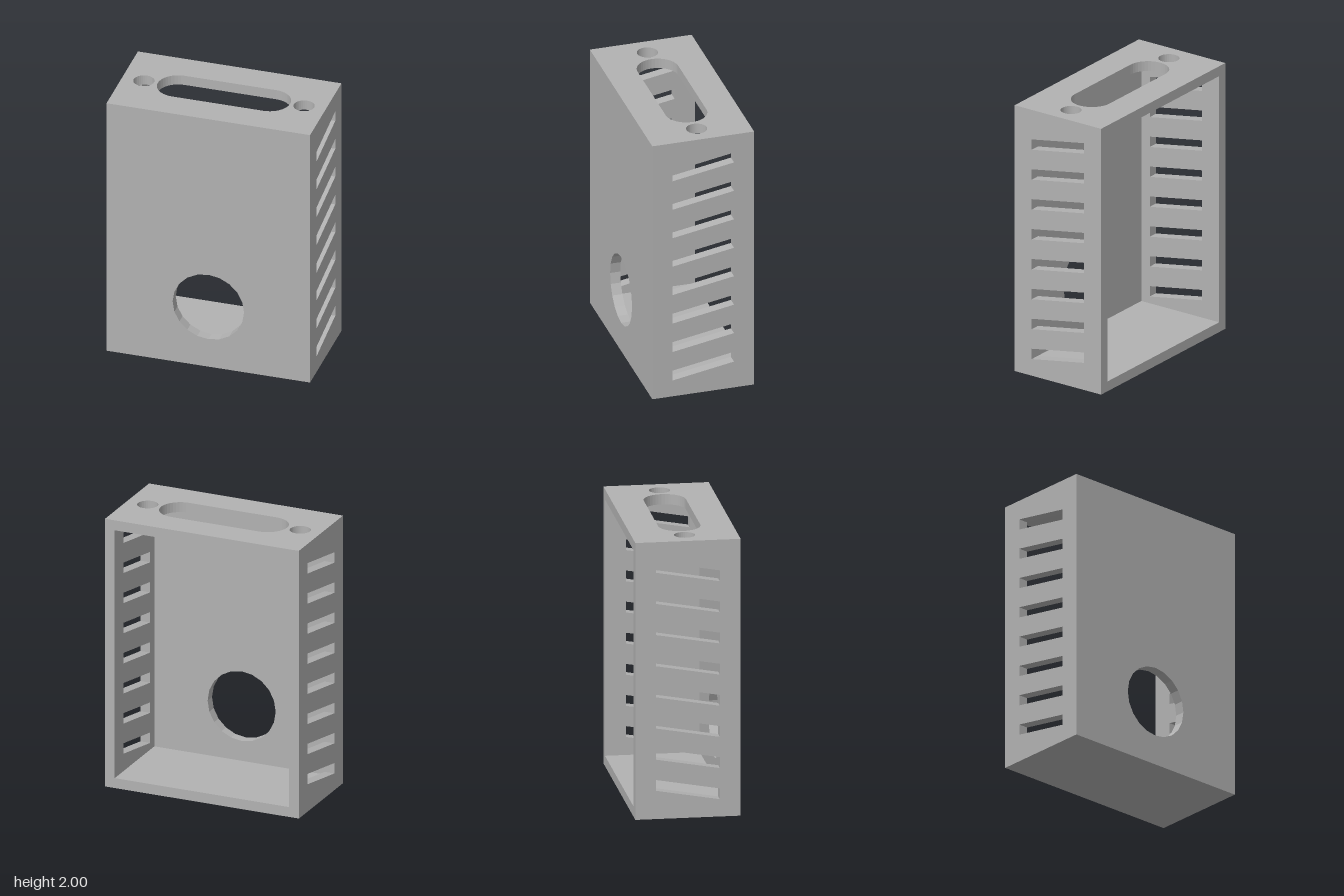
import * as THREE from 'three';

const W = 1.482, H = 2, D = 0.741, T = 0.074; // outer size and wall thickness

// Points along an arc
function arc(cx, cy, r, from, to, n) {
  return Array.from({ length: n + 1 }, (_, i) => {
    const a = from + (to - from) * i / n;
    return new THREE.Vector2(cx + r * Math.cos(a), cy + r * Math.sin(a));
  });
}
const circle = (cx, cy, r, n) => arc(cx, cy, r, 0, Math.PI * 2, n).slice(0, n);

// Flat rectangular panel with cut-outs, one wall thick
function panel(x0, x1, y0, y1, holes = []) {
  const shape = new THREE.Shape([
    new THREE.Vector2(x0, y0), new THREE.Vector2(x1, y0),
    new THREE.Vector2(x1, y1), new THREE.Vector2(x0, y1),
  ]);
  for (const pts of holes) shape.holes.push(new THREE.Path(pts));
  return new THREE.ExtrudeGeometry(shape, { depth: T, bevelEnabled: false });
}

export function createModel() {
  const group = new THREE.Group();
  const grey = new THREE.MeshStandardMaterial({ color: 0xb2b2b2 });
  grey.name = 'grey';
  const add = (name, geometry, x, y, z) => {
    const mesh = new THREE.Mesh(geometry, grey);
    mesh.name = name;
    mesh.position.set(x, y, z);
    group.add(mesh);
  };

  // Front wall with the round port
  add('frontWall', panel(-W / 2, W / 2, 0, H, [circle(0, 0.482, 0.26, 20)]), 0, 0, D / 2 - T);

  // Side walls with slanted vents, rising towards the open back
  const vents = [];
  for (let i = 0; i < 8; i++) {
    const y = 0.125 + i * 0.225, z = 0.224, rise = 0.079, h = 0.078;
    vents.push([
      new THREE.Vector2(-z, y + rise), new THREE.Vector2(z, y),
      new THREE.Vector2(z, y + h), new THREE.Vector2(-z, y + rise + h),
    ]);
  }
  const side = panel(-D / 2, D / 2 - T, 0, H, vents).rotateY(-Math.PI / 2);
  add('leftWall', side, W / 2, 0, 0);
  add('rightWall', side, -W / 2 + T, 0, 0);

  // Top wall with a long rounded opening between two round holes
  const r = 0.148, e = 0.482 - r, q = Math.PI / 2;
  const opening = [...arc(e, 0, r, -q, q, 20), ...arc(-e, 0, r, q, 3 * q, 20)];
  const inner = W / 2 - T;
  // Shape y runs towards -z once the panel lies flat
  const topHoles = [opening, circle(-0.583, 0, 0.074, 32), circle(0.583, 0, 0.074, 32)];
  const top = panel(-inner, inner, -D / 2 + T, D / 2, topHoles).rotateX(-Math.PI / 2);
  add('topWall', top, 0, H - T, 0);

  // Solid floor
  add('floor', panel(-inner, inner, -D / 2 + T, D / 2).rotateX(-Math.PI / 2), 0, 0, 0);

  return group;
}
